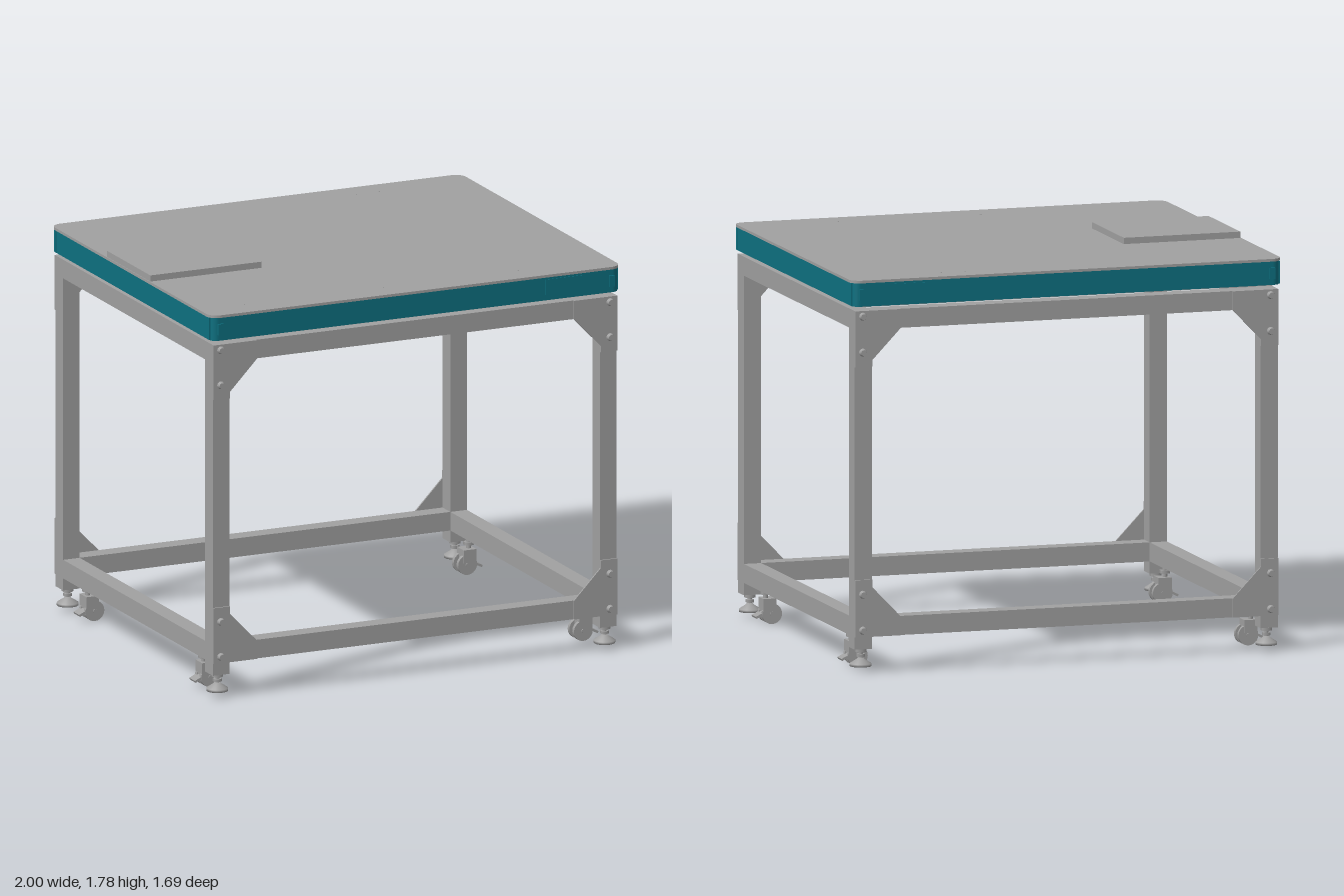
import * as THREE from 'three';

const steel = new THREE.MeshStandardMaterial({ color: 0xa0a0a0 });
steel.name = 'steelGrey';
const teal = new THREE.MeshStandardMaterial({ color: 0x0d7080 });
teal.name = 'tealPanel';

function add(parent, name, geometry, material, x = 0, y = 0, z = 0) {
  const mesh = new THREE.Mesh(geometry, material);
  mesh.name = name;
  mesh.position.set(x, y, z);
  parent.add(mesh);
  return mesh;
}

// Box given by its lower and upper limits
function box(parent, name, mat, x0, x1, y0, y1, z0, z1) {
  return add(parent, name, new THREE.BoxGeometry(x1 - x0, y1 - y0, z1 - z0), mat,
    (x0 + x1) / 2, (y0 + y1) / 2, (z0 + z1) / 2);
}

// Rounded rectangle slab lying flat, from y0 to y1
function slab(parent, name, mat, hx, hz, r, y0, y1) {
  const s = new THREE.Shape();
  s.absarc(hx - r, hz - r, r, 0, Math.PI / 2);
  s.absarc(-hx + r, hz - r, r, Math.PI / 2, Math.PI);
  s.absarc(-hx + r, -hz + r, r, Math.PI, Math.PI * 1.5);
  s.absarc(hx - r, -hz + r, r, Math.PI * 1.5, Math.PI * 2);
  s.closePath();
  const g = new THREE.ExtrudeGeometry(s, { depth: y1 - y0, bevelEnabled: false, curveSegments: 6 });
  g.rotateX(-Math.PI / 2);
  return add(parent, name, g, mat, 0, y0, 0);
}

// Corner plate for the +x side; dir = 1 for the top corner, -1 for the bottom
function gussetGeometry(side, top) {
  const pts = top
    ? [[0.98, 1.62], [0.77, 1.62], [0.77, 1.535], [0.9, 1.4], [0.9, 1.37], [0.98, 1.37]]
    : [[0.98, 0.165], [0.98, 0.42], [0.9, 0.42], [0.9, 0.385], [0.77, 0.25], [0.77, 0.165]];
  const shape = new THREE.Shape(pts.map(([x, y]) => new THREE.Vector2(x * side, y)));
  return new THREE.ExtrudeGeometry(shape, { depth: 0.008, bevelEnabled: false });
}

// Levelling foot with threaded stem and nuts
function makeFoot() {
  const foot = new THREE.Group();
  foot.name = 'levellingFoot';
  const profile = [[0, 0.03], [0.048, 0.03], [0.048, 0.042], [0.02, 0.06], [0.012, 0.068], [0, 0.068]];
  add(foot, 'footPad', new THREE.LatheGeometry(profile.map(p => new THREE.Vector2(...p)), 20), steel);
  add(foot, 'footStem', new THREE.CylinderGeometry(0.01, 0.01, 0.07, 12), steel, 0, 0.085, 0);
  add(foot, 'lowerNut', new THREE.CylinderGeometry(0.02, 0.02, 0.013, 6), steel, 0, 0.078, 0);
  add(foot, 'upperNut', new THREE.CylinderGeometry(0.026, 0.026, 0.014, 6), steel, 0, 0.1, 0);
  return foot;
}

// Twin wheel swivel caster; the wheels trail towards -x
function makeCaster() {
  const caster = new THREE.Group();
  caster.name = 'caster';
  const wheel = new THREE.CylinderGeometry(0.046, 0.046, 0.018, 20).rotateX(Math.PI / 2);
  for (const z of [-0.024, 0.024]) add(caster, 'wheel', wheel, steel, -0.03, 0.05, z);
  add(caster, 'axle', new THREE.CylinderGeometry(0.01, 0.01, 0.074, 10).rotateX(Math.PI / 2), steel, -0.03, 0.05, 0);
  box(caster, 'casterBody', steel, -0.05, 0.012, 0.06, 0.118, -0.035, 0.035);
  add(caster, 'casterStem', new THREE.CylinderGeometry(0.011, 0.011, 0.05, 12), steel, -0.01, 0.142, 0);
  add(caster, 'casterNut', new THREE.CylinderGeometry(0.024, 0.024, 0.014, 6), steel, -0.01, 0.14, 0);
  const pedal = box(caster, 'brakePedal', steel, 0, 0.045, 0.04, 0.05, -0.03, 0.03);
  pedal.rotation.z = -0.45;
  return caster;
}

export function createModel() {
  const model = new THREE.Group();
  model.name = 'machineTable';
  const frame = new THREE.Group();
  frame.name = 'frame';
  const top = new THREE.Group();
  top.name = 'tableTop';
  model.add(frame, top);

  // Horizontal rails, top and bottom
  for (const [y0, y1] of [[0.165, 0.25], [1.535, 1.62]]) {
    for (const s of [-1, 1]) {
      add(frame, 'longRail', new THREE.BoxGeometry(1.8, y1 - y0, 0.08), steel, 0, (y0 + y1) / 2, s * 0.78);
      add(frame, 'sideRail', new THREE.BoxGeometry(0.08, y1 - y0, 1.48), steel, s * 0.94, (y0 + y1) / 2, 0);
    }
  }

  // Legs, corner plates, bolts, feet and casters
  const bolt = new THREE.CylinderGeometry(0.013, 0.018, 0.016, 12).rotateX(Math.PI / 2);
  for (const sx of [-1, 1]) {
    for (const sz of [-1, 1]) {
      add(frame, 'leg', new THREE.BoxGeometry(0.08, 1.51, 0.08), steel, sx * 0.94, 0.865, sz * 0.78);
      for (const isTop of [true, false]) {
        add(frame, 'cornerPlate', gussetGeometry(sx, isTop), steel, 0, 0, sz > 0 ? 0.82 : -0.828);
      }
      for (const y of [0.195, 0.355, 1.435, 1.595]) {
        const b = add(frame, 'bolt', bolt, steel, sx * 0.945, y, sz * 0.836);
        if (sz < 0) b.rotation.y = Math.PI;
      }
      const foot = makeFoot();
      foot.position.set(sx * 0.94, 0, sz * 0.78);
      const caster = makeCaster();
      caster.position.set(sx * 0.935, 0, sz * 0.603);
      if (sx < 0) caster.rotation.y = Math.PI;
      model.add(foot, caster);
    }
  }

  // Table top: steel underside, teal skirt, steel sheet
  slab(top, 'underside', steel, 0.98, 0.82, 0.04, 1.636, 1.646);
  slab(top, 'skirt', teal, 0.99, 0.832, 0.035, 1.64, 1.745);
  slab(top, 'topSheet', steel, 0.998, 0.838, 0.05, 1.745, 1.757);
  box(top, 'raisedPlate', steel, -0.995, -0.455, 1.757, 1.785, -0.25, 0.2);

  // Skirt details: corner catches and access covers
  for (const sz of [-1, 1]) {
    for (const sx of [-1, 1]) {
      add(top, 'cornerCatch', new THREE.BoxGeometry(0.025, 0.05, 0.012), teal, sx * 0.95, 1.692, sz * 0.834);
      add(top, 'cornerStrip', new THREE.BoxGeometry(0.006, 0.1, 0.02), teal, sx * 0.99, 1.692, sz * 0.8);
    }
    add(top, 'accessCover', new THREE.BoxGeometry(0.18, 0.07, 0.006), teal, 0.72, 1.7, sz * 0.832);
  }

  // Small pins set in the top sheet
  const pin = new THREE.CylinderGeometry(0.004, 0.004, 0.003, 8);
  for (const [x, z] of [[0.44, -0.73], [0.55, -0.73], [-0.78, 0.72], [-0.11, 0.72], [0.55, 0.72]]) {
    add(top, 'pin', pin, steel, x, 1.757, z);
  }
  return model;
}
